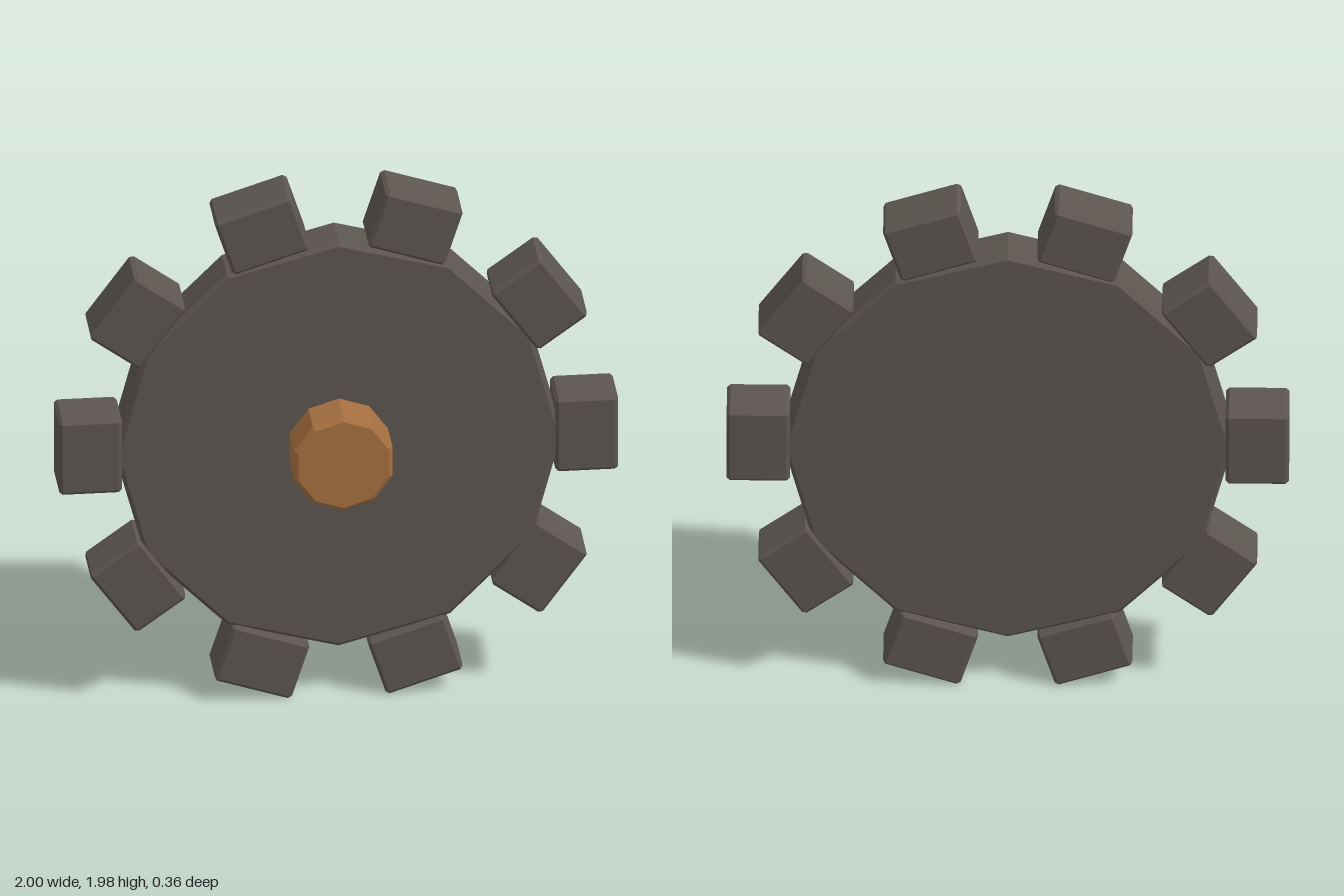
import * as THREE from 'three';
import { ConvexGeometry } from 'three/addons/geometries/ConvexGeometry.js';

const darkMetal = new THREE.MeshStandardMaterial({ color: 0x5c5550, flatShading: true });
const bronze = new THREE.MeshStandardMaterial({ color: 0xa56f3f, flatShading: true });

// Box with every edge and corner chamfered
function chamferedBox(w, h, d, c) {
  const points = [];
  for (const x of [-1, 1]) for (const y of [-1, 1]) for (const z of [-1, 1]) {
    for (let axis = 0; axis < 3; axis++) {
      const half = [w, h, d].map((s, i) => s / 2 - (i === axis ? 0 : c));
      points.push(new THREE.Vector3(x * half[0], y * half[1], z * half[2]));
    }
  }
  return new ConvexGeometry(points);
}

// Faceted disc along z with chamfered rims
function chamferedDisc(radius, zBack, zFront, sides, c) {
  const profile = [
    [0, zBack], [radius - c, zBack], [radius, zBack + c],
    [radius, zFront - c], [radius - c, zFront], [0, zFront],
  ].map(([r, z]) => new THREE.Vector2(r, z));
  return new THREE.LatheGeometry(profile, sides).rotateX(Math.PI / 2);
}

function addMesh(parent, name, geometry, material) {
  const mesh = new THREE.Mesh(geometry, material);
  mesh.name = name;
  parent.add(mesh);
  return mesh;
}

export function createModel() {
  const gear = new THREE.Group();
  gear.name = 'gear';

  // Wheel and its raised hub share one axis at y = 1
  const wheel = new THREE.Group();
  wheel.name = 'wheel';
  wheel.position.y = 1;
  gear.add(wheel);
  addMesh(wheel, 'disc', chamferedDisc(0.8, -0.168, 0.015, 12, 0.015), darkMetal);
  addMesh(wheel, 'hub', chamferedDisc(0.185, -0.1, 0.178, 10, 0.015), bronze);

  // Ten block teeth around the rim
  const teeth = new THREE.Group();
  teeth.name = 'teeth';
  wheel.add(teeth);
  const toothGeometry = chamferedBox(0.225, 0.29, 0.204, 0.012);
  const count = 10;
  for (let i = 0; i < count; i++) {
    const angle = (i / count) * Math.PI * 2;
    const tooth = addMesh(teeth, 'tooth' + (i + 1), toothGeometry, darkMetal);
    tooth.position.set(Math.cos(angle) * 0.8875, Math.sin(angle) * 0.8875, -0.076);
    tooth.rotation.z = angle;
  }
  return gear;
}
